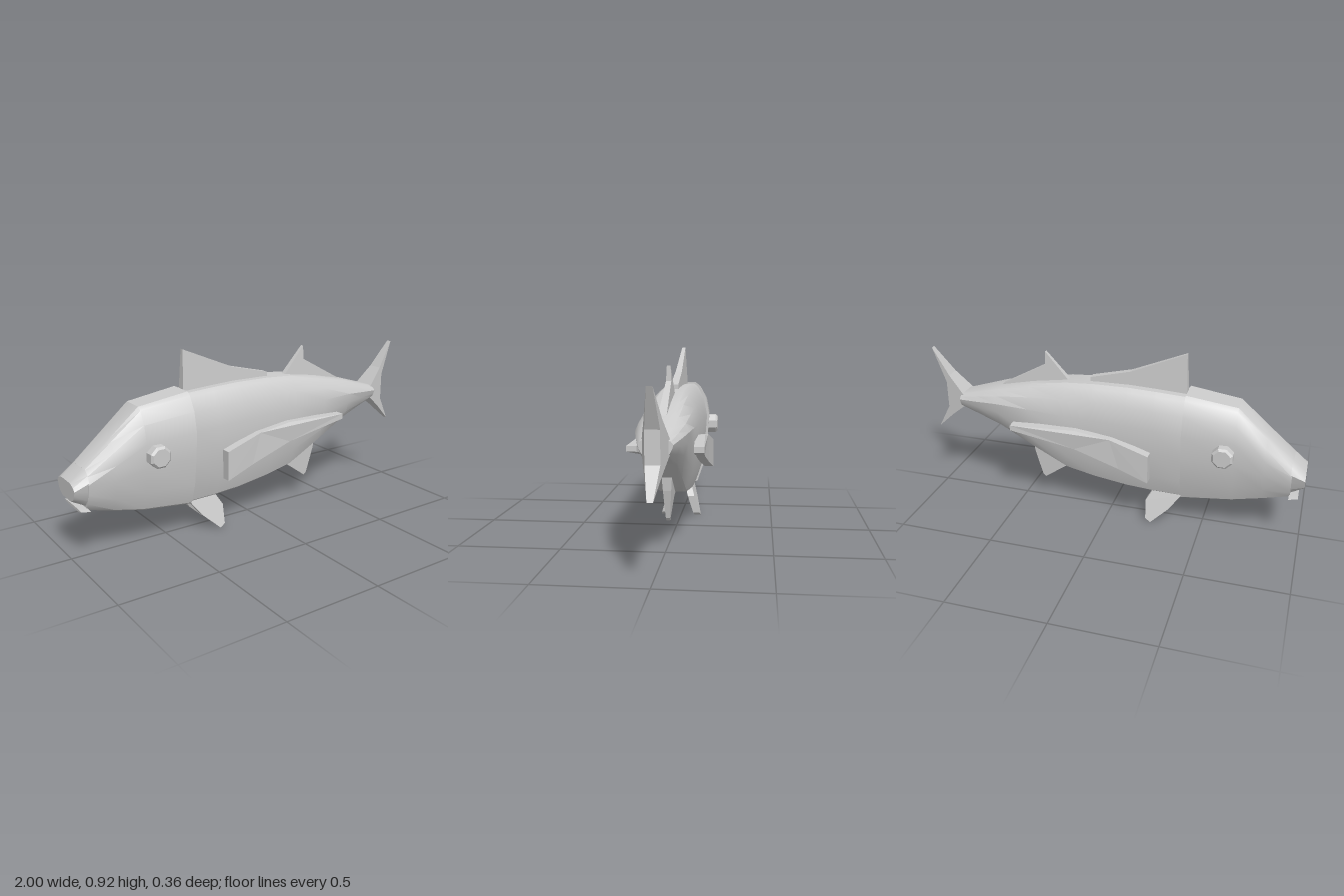
import * as THREE from 'three';
import { toCreasedNormals } from 'three/addons/utils/BufferGeometryUtils.js';

// Half cross-section, bottom to top: [width fraction, height fraction]
const PROFILE = [[0.43, 0], [0.55, 0.02], [0.8, 0.2], [0.93, 0.45], [1, 0.68], [0.86, 0.85], [0.6, 0.97], [0.44, 1]];
const RING = [...PROFILE, ...PROFILE.map(([w, h]) => [-w, h]).reverse()];

const material = new THREE.MeshStandardMaterial({ color: 0xcccccc });
const flatMaterial = new THREE.MeshStandardMaterial({ color: 0xcccccc, flatShading: true });

// Skin stations [x, bottom, top, half width] into a closed hull
function loft(stations) {
  const n = RING.length, pos = [], index = [];
  for (const [x, bottom, top, half] of stations)
    for (const [w, h] of RING) pos.push(x, bottom + (top - bottom) * h, w * half);
  for (let i = 0; i < stations.length - 1; i++)
    for (let j = 0; j < n; j++) {
      const a = i * n + j, b = i * n + (j + 1) % n;
      index.push(a, a + n, b, b, a + n, b + n);
    }
  const last = (stations.length - 1) * n;
  for (let j = 1; j < n - 1; j++) index.push(0, j, j + 1, last, last + j + 1, last + j);
  const geo = new THREE.BufferGeometry();
  geo.setAttribute('position', new THREE.Float32BufferAttribute(pos, 3));
  geo.setIndex(index);
  return toCreasedNormals(geo, 0.5);
}

// Extrude an outline one unit thick about z = 0, then place z by a rule
function fin(points, rule) {
  const shape = new THREE.Shape(points.map(([x, y]) => new THREE.Vector2(x, y)));
  const geo = new THREE.ExtrudeGeometry(shape, { depth: 1, bevelEnabled: false });
  geo.translate(0, 0, -0.5);
  const p = geo.attributes.position;
  for (let i = 0; i < p.count; i++) p.setZ(i, rule(p.getX(i), p.getY(i), p.getZ(i)));
  geo.computeVertexNormals();
  return geo;
}

export function createModel() {
  const group = new THREE.Group();
  const add = (name, geo, mat = flatMaterial) => {
    const mesh = new THREE.Mesh(geo, mat);
    mesh.name = name;
    group.add(mesh);
    return mesh;
  };

  // Trunk, slightly slimmer than the head so a seam shows at the gills
  add('body', loft([
    [-0.4, 0.165, 0.725, 0.132], [-0.24, 0.168, 0.733, 0.132], [-0.1, 0.177, 0.738, 0.132],
    [0.08, 0.202, 0.735, 0.13], [0.23, 0.235, 0.725, 0.13], [0.42, 0.335, 0.695, 0.128],
    [0.6, 0.435, 0.655, 0.122], [0.72, 0.475, 0.618, 0.1], [0.83, 0.508, 0.585, 0.075],
  ]), material);

  // Head and the two lips around the mouth notch
  add('head', loft([
    [-0.935, 0.252, 0.456, 0.106], [-0.8, 0.218, 0.572, 0.118],
    [-0.65, 0.185, 0.7, 0.131], [-0.39, 0.157, 0.735, 0.145],
  ]), material);
  add('upperLip', loft([[-1, 0.31, 0.4, 0.1], [-0.93, 0.272, 0.46, 0.106]]), material);
  add('lowerLip', loft([[-0.975, 0.26, 0.273, 0.097], [-0.93, 0.251, 0.268, 0.106]]), material);

  // Eyes: octagonal studs with a small chamfer
  for (const side of [1, -1]) {
    const eye = new THREE.LatheGeometry(
      [[0, 0], [0.056, 0], [0.056, 0.07], [0.045, 0.081], [0, 0.081]].map(([r, y]) => new THREE.Vector2(r, y)), 8);
    const mesh = add(side > 0 ? 'leftEye' : 'rightEye', eye);
    mesh.rotation.set(side * Math.PI / 2, Math.PI / 8, 0);
    mesh.position.set(-0.6, 0.475, side * 0.1);
  }

  // Fins on the centre line, thinning towards the tips
  add('frontDorsalFin', fin(
    [[-0.39, 0.7], [-0.38, 0.928], [-0.1, 0.808], [0.11, 0.755], [0.11, 0.7]],
    (x, y, z) => z * THREE.MathUtils.mapLinear(y, 0.7, 0.93, 0.046, 0.018)));
  add('rearDorsalFin', fin(
    [[0.22, 0.71], [0.355, 0.862], [0.358, 0.79], [0.6, 0.655], [0.6, 0.62], [0.4, 0.66]],
    (x, y, z) => z * THREE.MathUtils.mapLinear(y, 0.62, 0.86, 0.042, 0.018)));
  add('analFin', fin(
    [[0.22, 0.24], [0.38, 0.125], [0.395, 0.14], [0.43, 0.28], [0.44, 0.36], [0.3, 0.32]],
    (x, y, z) => z * THREE.MathUtils.mapLinear(y, 0.125, 0.36, 0.018, 0.05)));
  add('tailFin', fin(
    [[0.81, 0.52], [0.9, 0.447], [1, 0.355], [0.922, 0.49], [0.922, 0.635], [1, 0.815], [0.9, 0.676], [0.81, 0.578]],
    (x, y, z) => z * THREE.MathUtils.mapLinear(x, 0.81, 1, 0.12, 0.026)));

  // Paired side fins, bowed along their length, and splayed belly fins
  const pectoral = [[-0.235, 0.28], [-0.08, 0.33], [0.16, 0.405], [0.5, 0.475], [0.5, 0.502],
    [0.16, 0.51], [-0.03, 0.487], [-0.235, 0.43]];
  const pelvic = [[-0.39, 0.165], [-0.33, 0.085], [-0.24, 0.003], [-0.212, 0.02], [-0.205, 0.115],
    [-0.24, 0.175], [-0.25, 0.2], [-0.38, 0.2]];
  for (const side of [1, -1]) {
    const name = side > 0 ? 'left' : 'right';
    add(name + 'PectoralFin', fin(pectoral,
      (x, y, z) => side * 0.134 + z * 0.048 + side * 0.022 * ((x - 0.13) / 0.37) ** 2));
    add(name + 'PelvicFin', fin(pelvic,
      (x, y, z) => side * (0.044 + (0.16 - y) * 0.31) + z * 0.036));
  }
  return group;
}
